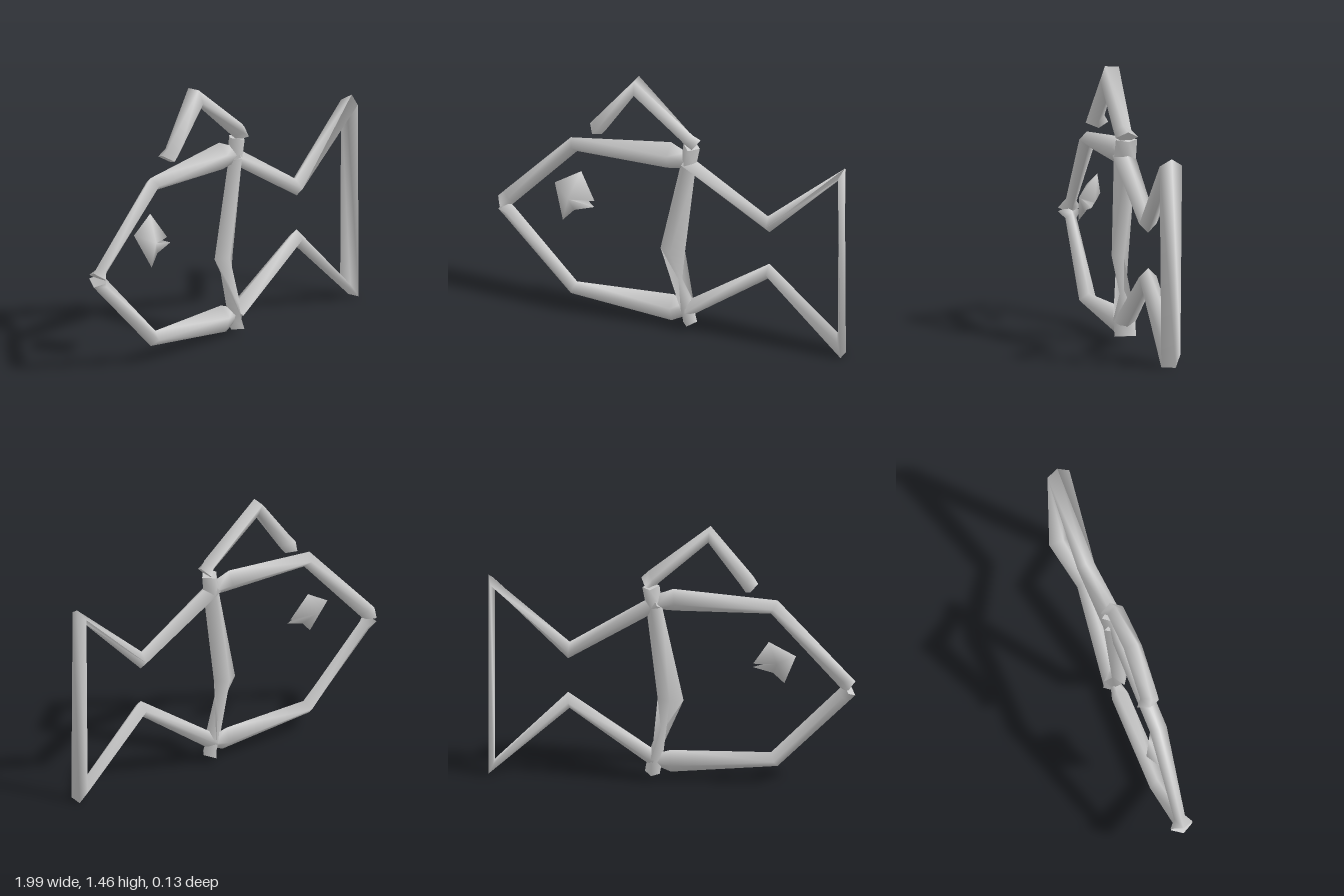
import * as THREE from 'three';

const W = 0.043, D = 0.063; // half width and half depth of the diamond section

function geometry(positions, indices) {
  const g = new THREE.BufferGeometry();
  g.setAttribute('position', new THREE.Float32BufferAttribute(positions, 3));
  g.setIndex(indices);
  g.computeVertexNormals();
  return g;
}

// Sweeps a diamond section along points [x, y, z, twist in degrees, width scale, depth scale].
// Corners are not mitred, so the strip narrows between sharp bends.
function strip(points) {
  const pos = [], idx = [], n = points.length;
  const dir = (i) => new THREE.Vector2(
    points[i + 1][0] - points[i][0], points[i + 1][1] - points[i][1]).normalize();
  points.forEach(([x, y, z = 0, twist = 0, sw = 1, sd = sw], i) => {
    const t = new THREE.Vector2();
    if (i > 0) t.add(dir(i - 1));
    if (i < n - 1) t.add(dir(i));
    t.normalize();
    const c = Math.cos(twist * Math.PI / 180), q = Math.sin(twist * Math.PI / 180);
    for (const [u, v] of [[W * sw, 0], [0, D * sd], [-W * sw, 0], [0, -D * sd]]) {
      const a = u * c - v * q, b = u * q + v * c;
      pos.push(x - t.y * a, y + t.x * a, z + b);
    }
  });
  for (let i = 0; i < n - 1; i++) {
    for (let k = 0; k < 4; k++) {
      const a = i * 4 + k, b = i * 4 + (k + 1) % 4;
      idx.push(a, b, a + 4, b, b + 4, a + 4);
    }
  }
  // end caps with their own corners
  for (const [ring, order] of [[0, [0, 2, 1, 0, 3, 2]], [n - 1, [0, 1, 2, 0, 2, 3]]]) {
    const base = pos.length / 3;
    pos.push(...pos.slice(ring * 12, ring * 12 + 12));
    idx.push(...order.map((k) => base + k));
  }
  return geometry(pos, idx);
}

// Notched lump: an outline closed by a front and a back peak
function lump(outline, front, back) {
  const pos = [...outline.flat(), ...front, ...back], idx = [], n = outline.length;
  for (let i = 0; i < n; i++) {
    const j = (i + 1) % n;
    idx.push(i, j, n, j, i, n + 1);
  }
  return geometry(pos, idx);
}

export function createModel() {
  const model = new THREE.Group();
  model.name = 'fishOutline';
  const grey = new THREE.MeshStandardMaterial({ color: 0xcccccc, side: THREE.DoubleSide });
  grey.name = 'light grey';
  const add = (name, geo) => {
    const mesh = new THREE.Mesh(geo, grey);
    mesh.name = name;
    model.add(mesh);
  };

  // head and belly lines: flared at the nose, turning edge-on towards the gill bar
  add('upperBody', strip([
    [-0.96, 0.585], [-0.925, 0.622, 0, 0, 1, 0.5], [-0.55, 1.02, 0.016, 0, 1, 0.76],
    [-0.01, 1.046, 0, 75, 1.1, 1.15], [0.08, 1.03, 0, 80, 0.75]]));
  add('lowerBody', strip([
    [-0.96, 0.565], [-0.925, 0.53, 0, 0, 1, 0.5], [-0.55, 0.142, 0.016, 0, 1, 0.76],
    [0.01, 0.115, 0, 75, 1.1, 1.15], [0.09, 0.12, 0, 80, 0.6]]));

  // bar between body and tail, twisted a quarter turn at its middle
  add('gillBar', strip([
    [0.117, 1.12, -0.005, 0, 1.1, 0.95], [0.1, 1.0, 0, 10, 1.05, 0.95],
    [0.011, 0.47, 0, 90, 1.1, 1.12],
    [0.093, 0.14, 0, 15, 1, 0.95], [0.11, 0.045, 0, 0, 0.95]]));

  // tail outline
  add('tail', strip([
    [0.08, 1.03], [0.563, 0.73, 0.006, 0, 1.13, 0.78], [0.98, 1.11],
    [0.98, 0.045, 0, -30, 1.05], [0.563, 0.442, 0.006, 0, 1.08, 0.78], [0.1, 0.125]]));

  // fin on the back
  add('dorsalFin', strip([
    [-0.43, 1.13], [-0.4, 1.169, 0.014, 5, 1, 0.78], [-0.2, 1.433, -0.003, 32, 1.08, 1],
    [0.105, 1.167, 0.014, 5, 1, 0.78], [0.142, 1.135]]));

  // eye, leaning forward at its lower edge, with a notch on its tail side
  add('eye', lump(
    [[-0.67, 0.75, -0.01], [-0.6, 0.567, 0.055], [-0.54, 0.63, 0.04], [-0.43, 0.663, 0.03],
      [-0.55, 0.685, 0.04], [-0.435, 0.69, 0.01], [-0.525, 0.835, -0.03]],
    [-0.57, 0.7, 0.06], [-0.57, 0.72, -0.06]));

  return model;
}
